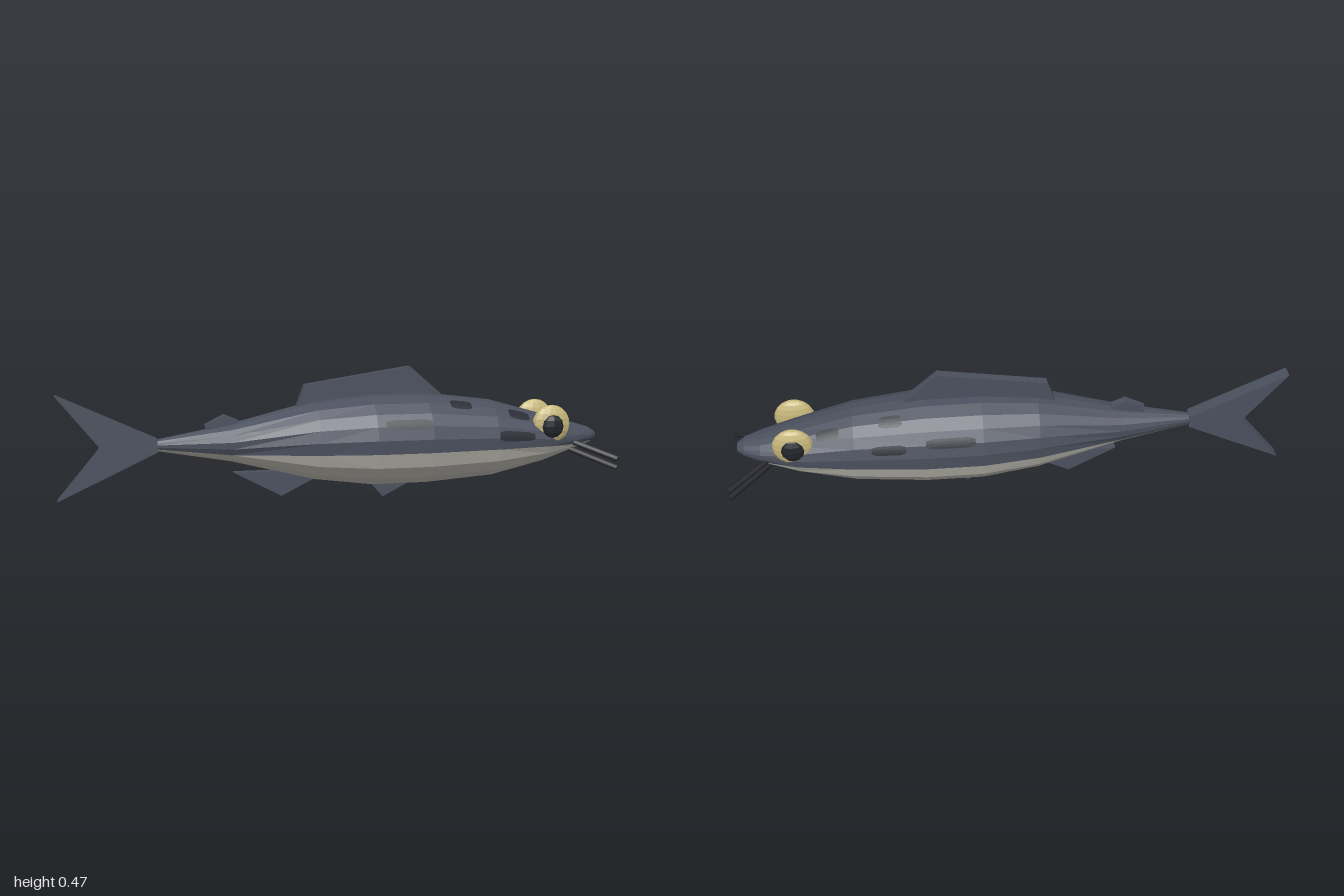
import * as THREE from 'three';

const mat = (name, color) => {
  const m = new THREE.MeshStandardMaterial({ color });
  m.name = name;
  return m;
};

// Body stations: x, bottom y, top y, half width
const STATIONS = [
  [-0.66, 0.195, 0.235, 0.02], [-0.4, 0.15, 0.283, 0.072], [-0.1, 0.073, 0.357, 0.14],
  [0.1, 0.047, 0.377, 0.166], [0.3, 0.047, 0.376, 0.166], [0.55, 0.065, 0.345, 0.143],
  [0.75, 0.112, 0.288, 0.113], [0.88, 0.155, 0.25, 0.075], [0.94, 0.175, 0.232, 0.045],
  [0.965, 0.188, 0.216, 0.022],
];
const NOSE = STATIONS.length - 1;

// Point on the body skin at x and angle (0 = left flank, PI/2 = back)
function skin(x, a, lift = 0) {
  let i = 0;
  while (i < NOSE - 1 && x > STATIONS[i + 1][0]) i++;
  const p = STATIONS[i], q = STATIONS[i + 1];
  const [, lo, hi, w] = p.map((v, k) => THREE.MathUtils.lerp(v, q[k], (x - p[0]) / (q[0] - p[0])));
  return [x, (lo + hi) / 2 + ((hi - lo) / 2 + lift) * Math.sin(a), (w + lift) * Math.cos(a)];
}

// Faceted geometry from a triangle list of points
function faceted(points) {
  const g = new THREE.BufferGeometry();
  g.setAttribute('position', new THREE.Float32BufferAttribute(points.flat(), 3));
  g.computeVertexNormals();
  return g;
}

// Upper or lower skin between two stations, split along the waterline at y = 0.18
function bodyHalf(upper, segs, first, last) {
  const rings = STATIONS.map(([x, lo, hi]) => {
    const k = THREE.MathUtils.clamp((0.18 - (lo + hi) / 2) / ((hi - lo) / 2), -0.6, 0);
    const s = Math.asin(k);
    const from = upper ? s : Math.PI - s;
    const to = upper ? Math.PI - s : 2 * Math.PI + s;
    return Array.from({ length: segs + 1 }, (_, j) => skin(x, from + (to - from) * j / segs));
  });
  const centre = (i) => [STATIONS[i][0], (STATIONS[i][1] + STATIONS[i][2]) / 2, 0];
  const tris = [];
  for (let j = 0; j < segs; j++) {
    for (let i = first; i < last; i++) {
      const a = rings[i][j], b = rings[i + 1][j], c = rings[i + 1][j + 1], d = rings[i][j + 1];
      // Mirror the diagonals so both flanks match
      if (j < segs / 2) tris.push(a, b, c, a, c, d);
      else tris.push(a, b, d, b, c, d);
    }
    if (last === NOSE) tris.push(centre(last), rings[last][j + 1], rings[last][j]);
    if (first === 0) tris.push(centre(0), rings[0][j], rings[0][j + 1]);
  }
  return faceted(tris);
}

// Thin blunt-ended marking that follows the skin
function spotGeometry(x, a, halfLength, halfAngle) {
  const blunt = (v) => THREE.MathUtils.clamp(1.3 * v, -1, 1);
  const at = (r, j) => {
    const t = j * Math.PI / 6;
    return skin(x + halfLength * r * blunt(Math.cos(t)), a + halfAngle * r * blunt(Math.sin(t)), 0.004);
  };
  const tris = [];
  for (let j = 0; j < 12; j++) {
    tris.push(at(0, 0), at(0.5, j), at(0.5, j + 1));
    tris.push(at(0.5, j), at(1, j), at(1, j + 1), at(0.5, j), at(1, j + 1), at(0.5, j + 1));
  }
  return faceted(tris);
}

// Faceted ball for eyes and pupils
function ball(w, h) {
  const g = new THREE.SphereGeometry(1, w, h).toNonIndexed();
  g.computeVertexNormals();
  return g;
}

// Flat fin from a side outline
function finGeometry(points, thickness) {
  const shape = new THREE.Shape(points.map(([x, y]) => new THREE.Vector2(x, y)));
  const g = new THREE.ExtrudeGeometry(shape, { depth: thickness, bevelEnabled: false });
  return g.translate(0, 0, -thickness / 2);
}

export function createModel() {
  const group = new THREE.Group();
  group.name = 'fish';
  const slate = mat('slateSkin', 0x4b505e);
  const pale = mat('paleBelly', 0xb9b7ae);
  const gold = mat('eyeGold', 0xc6b67a);
  const dark = mat('spotDark', 0x2b2d36);
  const black = mat('whiskerBlack', 0x24252b);

  const add = (name, geometry, material) => {
    const mesh = new THREE.Mesh(geometry, material);
    mesh.name = name;
    group.add(mesh);
    return mesh;
  };

  add('back', bodyHalf(true, 12, 0, NOSE), slate);
  add('belly', bodyHalf(false, 8, 0, NOSE - 1), pale);
  add('lowerLip', bodyHalf(false, 8, NOSE - 1, NOSE), slate);

  // Fins
  add('tailFin', finGeometry([[-1, 0.398], [-0.85, 0.212], [-1, 0.032], [-0.655, 0.193], [-0.655, 0.237]], 0.05), slate);
  add('dorsalFin', finGeometry([[-0.17, 0.32], [-0.135, 0.415], [0.25, 0.473], [0.37, 0.368], [0.3, 0.34]], 0.032), slate);
  add('rearDorsalFin', finGeometry([[-0.49, 0.282], [-0.48, 0.24], [-0.37, 0.26], [-0.37, 0.294], [-0.42, 0.316]], 0.032), slate);
  add('analFin', finGeometry([[-0.39, 0.11], [-0.22, 0.02], [-0.1, 0.08], [-0.14, 0.11]], 0.032), slate);
  add('pelvicFin', finGeometry([[0.1, 0.07], [0.11, 0.048], [0.15, 0.002], [0.25, 0.053], [0.24, 0.07]], 0.032), slate);

  // Skin markings: x, angle, half length, half angle; the flank marks differ by side
  const shared = [[0.215, 0.43, 0.086, 0.11], [0.42, 0.99, 0.04, 0.14], [0.64, 0.88, 0.04, 0.17]];
  const spots = {
    left: [...shared, [0.62, 0.17, 0.07, 0.14], [-0.33, 0.5, 0.025, 0.05]],
    right: [...shared, [0.43, 0.34, 0.06, 0.11]],
  };

  for (const [side, s] of [['left', 1], ['right', -1]]) {
    spots[side].forEach(([x, a, l, h], i) =>
      add(`${side}Spot${i + 1}`, spotGeometry(x, s > 0 ? a : Math.PI - a, l, h), dark));

    // Flattened bulging eye with a dark pupil
    const eye = add(`${side}Eye`, ball(14, 10), gold);
    eye.scale.set(0.072, 0.072, 0.028);
    eye.position.set(0.762, 0.257, 0.088 * s);
    const pupil = add(`${side}Pupil`, ball(8, 6), black);
    pupil.scale.set(0.043, 0.043, 0.018);
    pupil.position.set(0.762, 0.253, 0.108 * s);

    // Pair of straight whiskers
    [[[0.85, 0.19, 0.062], [0.993, 0.134, 0.16]], [[0.85, 0.16, 0.053], [0.993, 0.101, 0.16]]]
      .forEach(([from, to], i) => {
        const a = new THREE.Vector3(from[0], from[1], from[2] * s);
        const b = new THREE.Vector3(to[0], to[1], to[2] * s);
        const dir = b.clone().sub(a);
        const whisker = add(`${side}Whisker${i + 1}`,
          new THREE.CylinderGeometry(0.011, 0.011, dir.length(), 6), black);
        whisker.position.copy(a).add(b).multiplyScalar(0.5);
        whisker.quaternion.setFromUnitVectors(new THREE.Vector3(0, 1, 0), dir.normalize());
      });
  }
  return group;
}
